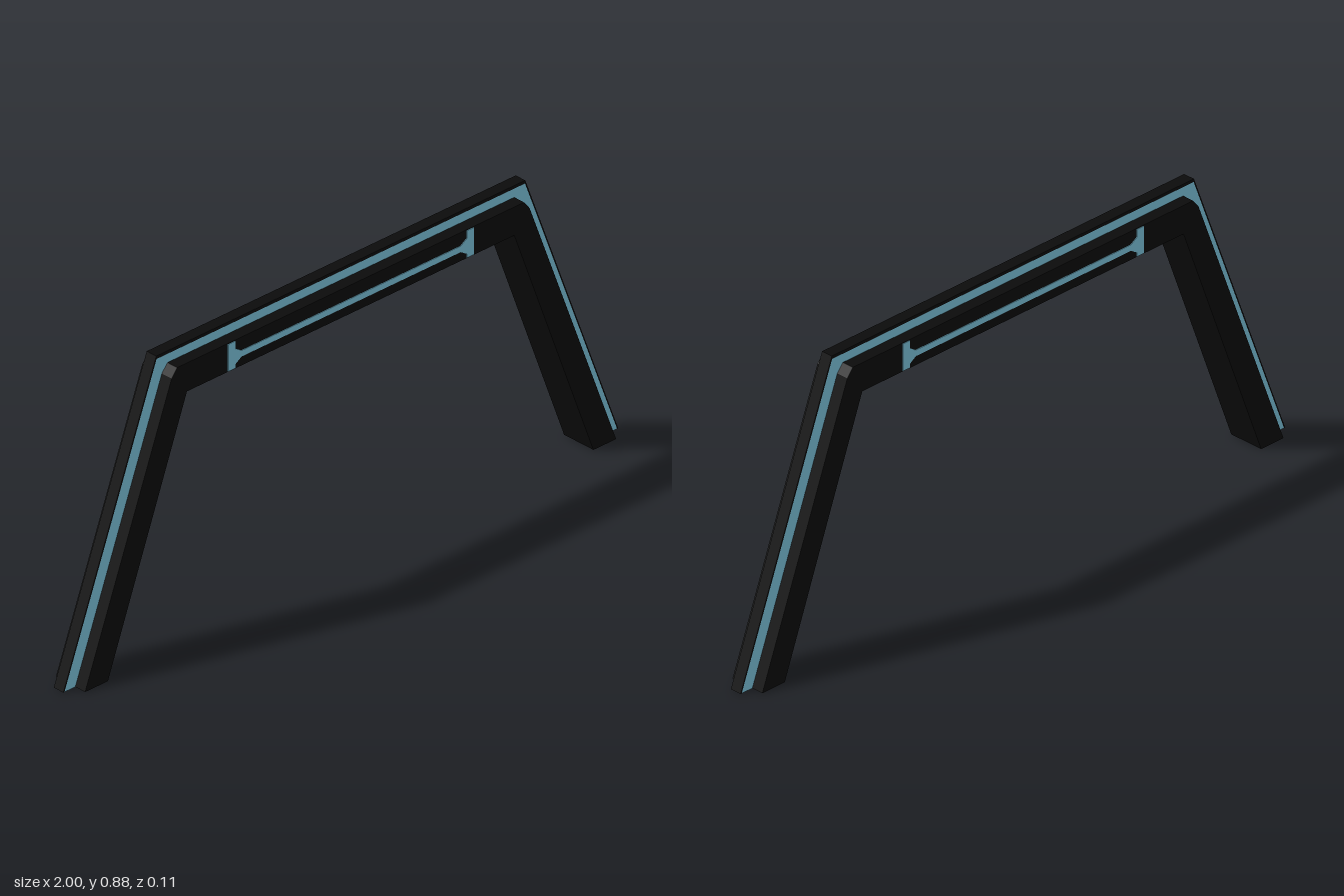
import * as THREE from 'three';

const black = new THREE.MeshStandardMaterial({ color: 0x0b0b0b });
black.name = 'black';
const blue = new THREE.MeshStandardMaterial({ color: 0x78bdd5 });
blue.name = 'lightBlue';

// Right-half edges of the arch, listed from the ground up
const inner = [[0.875, 0], [0.59, 0.755]];
const bodyEdge = [[0.957, 0], [0.645, 0.815], [0.625, 0.84]];
const bandEdge = [[0.996, 0], [0.664, 0.866]];
const outer = [[1, 0], [0.665, 0.875]];

// Mirrors a half edge into a full path from right foot to left foot
const arch = (half) => [...half, ...half.map(([x, y]) => [-x, y]).reverse()];

// Extrudes a polygon, centred on z
function slab(name, points, depth, material, z = 0) {
  const shape = new THREE.Shape(points.map(([x, y]) => new THREE.Vector2(x, y)));
  const geometry = new THREE.ExtrudeGeometry(shape, { depth, bevelEnabled: false });
  geometry.translate(0, 0, z - depth / 2);
  const mesh = new THREE.Mesh(geometry, material);
  mesh.name = name;
  return mesh;
}

// Arch-shaped layer between two edges
const layer = (name, outside, inside, depth, material) =>
  slab(name, [...arch(outside), ...arch(inside).reverse()], depth, material);

export function createModel() {
  const group = new THREE.Group();
  group.name = 'archFrame';

  // Thick frame, narrow ridge with coloured side faces, thin black rim
  group.add(layer('frame', bodyEdge, inner, 0.11, black));
  group.add(layer('ridge', bandEdge, bodyEdge, 0.036, [blue, black]));
  group.add(layer('ridgeRim', outer, bandEdge, 0.036, black));

  // Inlay on both faces: long bar with flared ends and an upright at each end
  const quarter = [[0.395, 0.801], [0.417, 0.815], [0.417, 0.838], [0.443, 0.838]];
  const lower = [[0.443, 0.757], [0.417, 0.757], [0.417, 0.769], [0.395, 0.783]];
  const right = [...lower.reverse(), ...quarter.reverse()];
  const inlay = [...right, ...right.map(([x, y]) => [-x, y]).reverse()];
  for (const side of [1, -1]) {
    group.add(slab(side > 0 ? 'frontInlay' : 'backInlay', inlay, 0.004, blue, side * 0.055));
  }
  return group;
}
